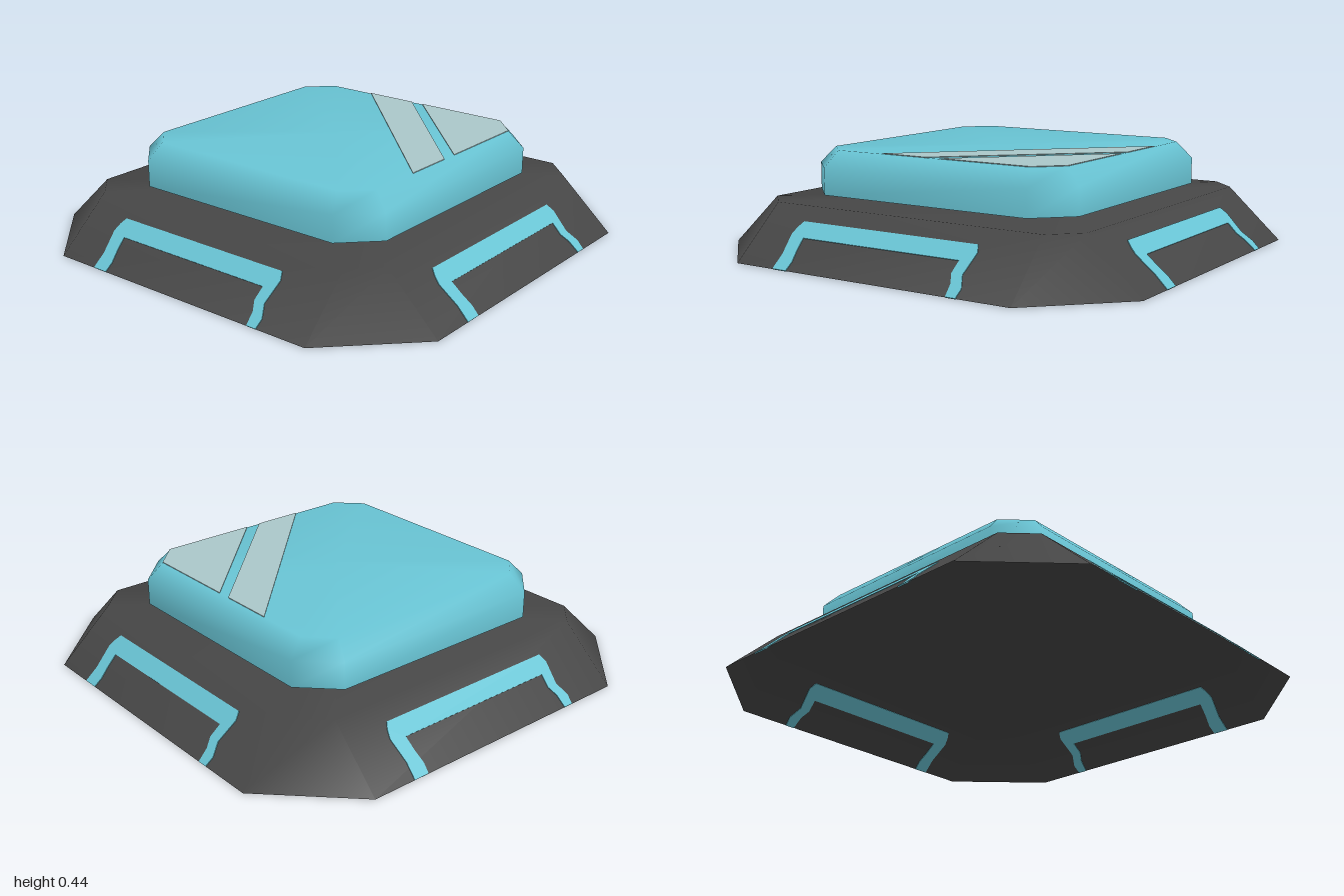
import * as THREE from 'three';

// Chamfered square outline: half = half width, c = where each corner cut starts
const outline = (half, c) => [
  [c, half], [half, c], [half, -c], [c, -half],
  [-c, -half], [-half, -c], [-half, c], [-c, half],
];

// Smooth shell through stacked outlines [y, half, c], capped on top, open below
function shell(levels) {
  const pos = [], idx = [], n = 8;
  for (const [y, half, c] of levels) {
    for (const [x, z] of outline(half, c)) pos.push(x, y, z);
  }
  const last = (levels.length - 1) * n, centre = levels.length * n;
  pos.push(0, levels[levels.length - 1][0], 0);
  for (let i = 0; i < n; i++) {
    const j = (i + 1) % n;
    for (let k = 0; k < last; k += n) {
      idx.push(k + i, k + j, k + n + j, k + i, k + n + j, k + n + i);
    }
    idx.push(centre, last + i, last + j);
  }
  const g = new THREE.BufferGeometry();
  g.setAttribute('position', new THREE.Float32BufferAttribute(pos, 3));
  g.setIndex(idx);
  g.computeVertexNormals();
  return g;
}

const plate = (points, depth) => new THREE.ExtrudeGeometry(
  new THREE.Shape(points.map(([x, y]) => new THREE.Vector2(x, y))),
  { depth, bevelEnabled: false });

export function createModel() {
  const charcoal = new THREE.MeshStandardMaterial({ color: 0x464646, side: THREE.DoubleSide });
  const cyan = new THREE.MeshStandardMaterial({ color: 0x69c5d5, side: THREE.DoubleSide });
  const paleGlint = new THREE.MeshStandardMaterial({ color: 0xabc8ca });
  const model = new THREE.Group();
  const add = (name, geometry, material, parent = model) => {
    const mesh = new THREE.Mesh(geometry, material);
    mesh.name = name;
    parent.add(mesh);
    return mesh;
  };

  // Sloped base, hollow underneath
  const H = 0.22, inset = 0.235;
  add('base', shell([[0, 1, 0.66], [H, 1 - inset, 0.65]]), charcoal);

  // Floating button with a bevelled rim
  add('button', shell([[0.245, 0.645, 0.5], [0.36, 0.645, 0.5], [0.43, 0.58, 0.475]]), cyan);

  // Bracket-shaped trim, set through each sloped wall so it shows on both faces
  const stretch = Math.hypot(H, inset) / H, thick = 0.006;
  const trim = plate([
    [-0.465, 0], [-0.46, 0.05], [-0.475, 0.12], [-0.465, 0.145], [-0.45, 0.165],
    [0.405, 0.165], [0.42, 0.14], [0.405, 0.07], [0.43, 0.03], [0.425, 0],
    [0.38, 0], [0.375, 0.04], [0.355, 0.07], [0.36, 0.11],
    [-0.405, 0.11], [-0.4, 0.07], [-0.39, 0.03], [-0.395, 0],
  ].map(([x, y]) => [x, y * stretch]), thick);
  trim.translate(0, 0, -thick / 2);
  trim.rotateX(-Math.atan2(inset, H));
  trim.translate(0, 0, 1);
  for (let i = 0; i < 4; i++) {
    add('wallTrim', trim, cyan).rotation.y = i * Math.PI / 2;
  }

  // Two diagonal glints on the button, drawn as x and -z
  const glints = [
    [[-0.25, 0.58], [0.58, -0.24], [0.58, -0.02], [-0.01, 0.58]],
    [[0.05, 0.58], [0.58, 0.05], [0.58, 0.475], [0.475, 0.58]],
  ];
  for (const points of glints) {
    const mesh = add('glint', plate(points, 0.004), paleGlint);
    mesh.rotation.x = -Math.PI / 2;
    mesh.position.y = 0.429;
  }
  return model;
}
